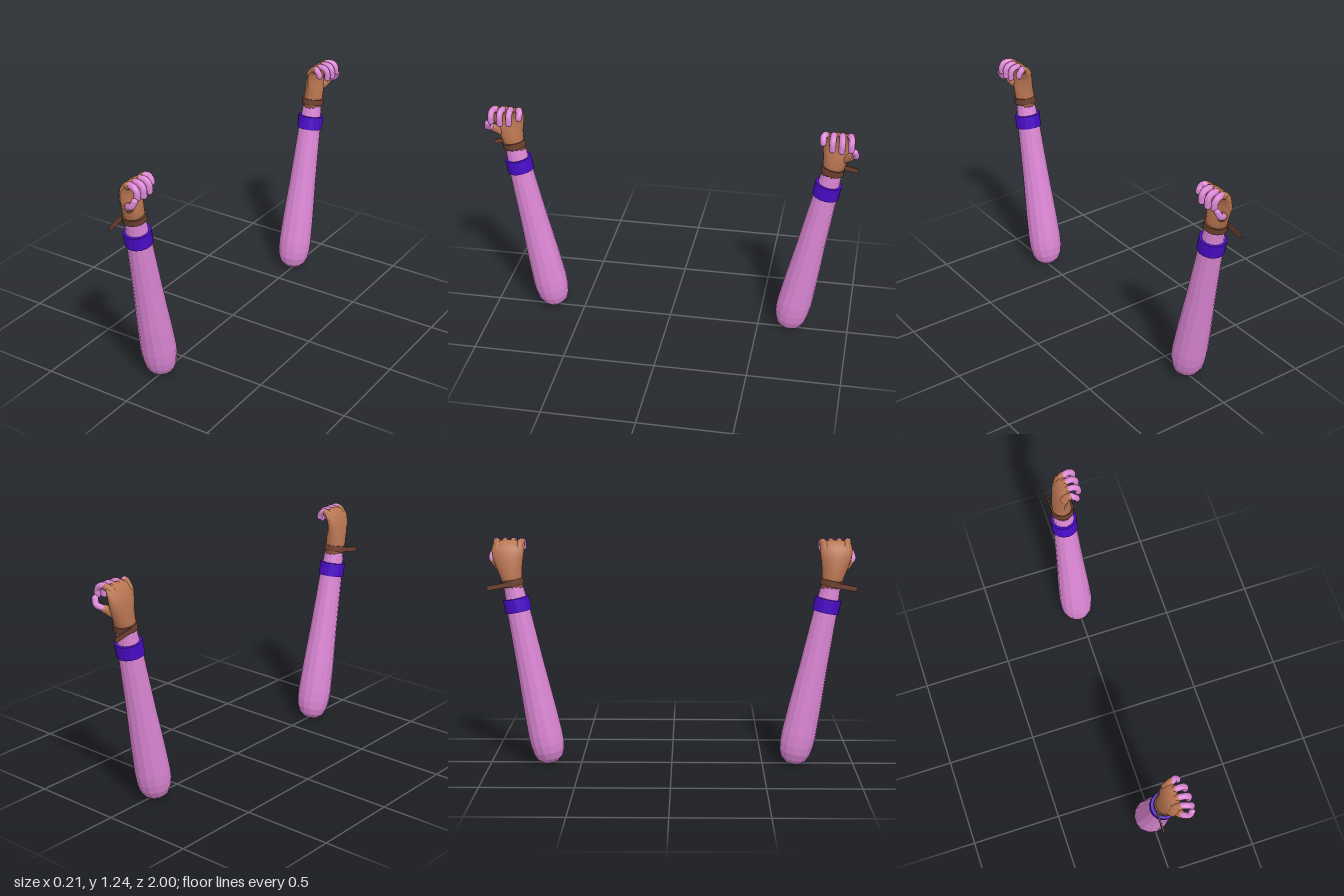
import * as THREE from 'three';

const mat = (color, flatShading = false) => new THREE.MeshStandardMaterial({ color, flatShading });
const skin = mat(0xdb86d4), skinFlat = mat(0xdb86d4, true);
const purple = mat(0x4a0cc8, true), leather = mat(0xb87450), strapBrown = mat(0x6e4030);
const TILT = 0.192;

function add(parent, name, geometry, material) {
  const mesh = new THREE.Mesh(geometry, material);
  mesh.name = name;
  parent.add(mesh);
  return mesh;
}

function lathe(points, sides) {
  return new THREE.LatheGeometry(points.map(([r, y]) => new THREE.Vector2(r, y)), sides);
}

// Closed ring with a rectangular section
function ring(inner, outer, y, h, sides) {
  return lathe([[inner, y - h / 2], [outer, y - h / 2], [outer, y - h / 2], [outer, y + h / 2],
    [outer, y + h / 2], [inner, y + h / 2]], sides);
}

// Round-ended tube through a few points; s mirrors it in z
function digit(parent, name, pts, r, material, s) {
  const g = new THREE.Group();
  g.name = name;
  const v = pts.map(([x, y, z]) => new THREE.Vector3(x, y, z * s));
  add(g, name + 'Shaft', new THREE.TubeGeometry(new THREE.CatmullRomCurve3(v), 14, r, 10), material);
  add(g, name + 'Tip', new THREE.SphereGeometry(r, 10, 8), material).position.copy(v[v.length - 1]);
  parent.add(g);
}

// Palm rings: centre x, y, z, half thickness, half width, lean towards +x
const palmRings = [
  [-0.01, 0.985, 0.859, 0, 0, 0],
  [-0.01, 0.985, 0.859, 0.052, 0.055, 0],
  [-0.011, 1.04, 0.869, 0.053, 0.06, 0],
  [-0.009, 1.09, 0.879, 0.048, 0.07, 0.05],
  [-0.013, 1.14, 0.885, 0.038, 0.082, 0.25],
  [-0.006, 1.185, 0.885, 0.03, 0.088, 0.55],
  [0.01, 1.212, 0.882, 0.025, 0.086, 0.9],
  [0.028, 1.224, 0.88, 0.016, 0.08, 1.3],
  [0.035, 1.226, 0.88, 0, 0, 1.4],
];

function palmGeometry(s) {
  const last = palmRings.length - 1;
  const geo = lathe(palmRings.map((_, i) => [1, i]), 20);
  const p = geo.attributes.position;
  for (let i = 0; i < p.count; i++) {
    const [cx, cy, cz, thick, wide, lean] = palmRings[Math.min(last, Math.round(p.getY(i)))];
    const u = p.getX(i) * thick;
    p.setXYZ(i, cx + u * Math.cos(lean), cy - u * Math.sin(lean), s * cz + p.getZ(i) * wide);
  }
  geo.computeVertexNormals();
  return geo;
}

function buildArm(s) {
  const side = new THREE.Group();
  side.name = s > 0 ? 'frontArm' : 'backArm';

  // Forearm, band and strap share a leaning axis
  const fore = new THREE.Group();
  fore.name = 'forearmGroup';
  fore.position.set(-0.01, 0.002, 0.667 * s);
  fore.rotation.x = TILT * s;
  side.add(fore);
  add(fore, 'forearm', lathe([[0, 0], [0.042, 0.008], [0.07, 0.032], [0.086, 0.07], [0.093, 0.115],
    [0.095, 0.17], [0.089, 0.33], [0.077, 0.55], [0.064, 0.87], [0.053, 1.0], [0.048, 1.05]], 14), skinFlat);
  add(fore, 'armBand', ring(0.055, 0.072, 0.905, 0.075, 16), purple);
  add(fore, 'wristStrap', ring(0.045, 0.062, 1.028, 0.034, 24), strapBrown);
  add(fore, 'strapTail', new THREE.BoxGeometry(0.008, 0.026, 0.12), strapBrown)
    .position.set(-0.056, 1.026, 0.062 * s);
  const end = add(fore, 'strapTailEnd', new THREE.CylinderGeometry(0.013, 0.013, 0.008, 14), strapBrown);
  end.rotation.z = Math.PI / 2;
  end.position.set(-0.056, 1.026, 0.122 * s);

  // Gloved palm
  const hand = new THREE.Group();
  hand.name = 'hand';
  side.add(hand);
  add(hand, 'glove', palmGeometry(s), leather);

  // Four curled fingers: z at root, z at tip, reach, tip height
  [[0.94, 0.955, 0.083, 1.178], [0.9, 0.907, 0.085, 1.168], [0.86, 0.858, 0.083, 1.172],
    [0.822, 0.808, 0.06, 1.195]].forEach(([z0, z1, reach, low], i) => {
    const zm = (z0 + z1) / 2;
    digit(hand, 'fingerSleeve' + (i + 1), [[-0.012, 1.185, z0], [0.006, 1.213, z0], [0.026, 1.225, zm]], 0.02, leather, s);
    digit(hand, 'finger' + (i + 1), [[0.012, 1.218, z0], [0.035, 1.229, zm],
      [reach - 0.018, 1.225, z1], [reach - 0.002, 1.205, z1], [reach, low, z1]], 0.0175, skin, s);
  });

  // Thumb closing the loop from below
  digit(hand, 'thumbSleeve', [[-0.005, 1.07, 0.9], [0.012, 1.09, 0.93], [0.03, 1.115, 0.958]], 0.022, leather, s);
  digit(hand, 'thumb', [[0.02, 1.11, 0.945], [0.042, 1.125, 0.972], [0.066, 1.137, 0.982],
    [0.08, 1.165, 0.975]], 0.017, skin, s);
  return side;
}

export function createModel() {
  const model = new THREE.Group();
  model.name = 'pairOfArms';
  model.add(buildArm(1), buildArm(-1));
  return model;
}
